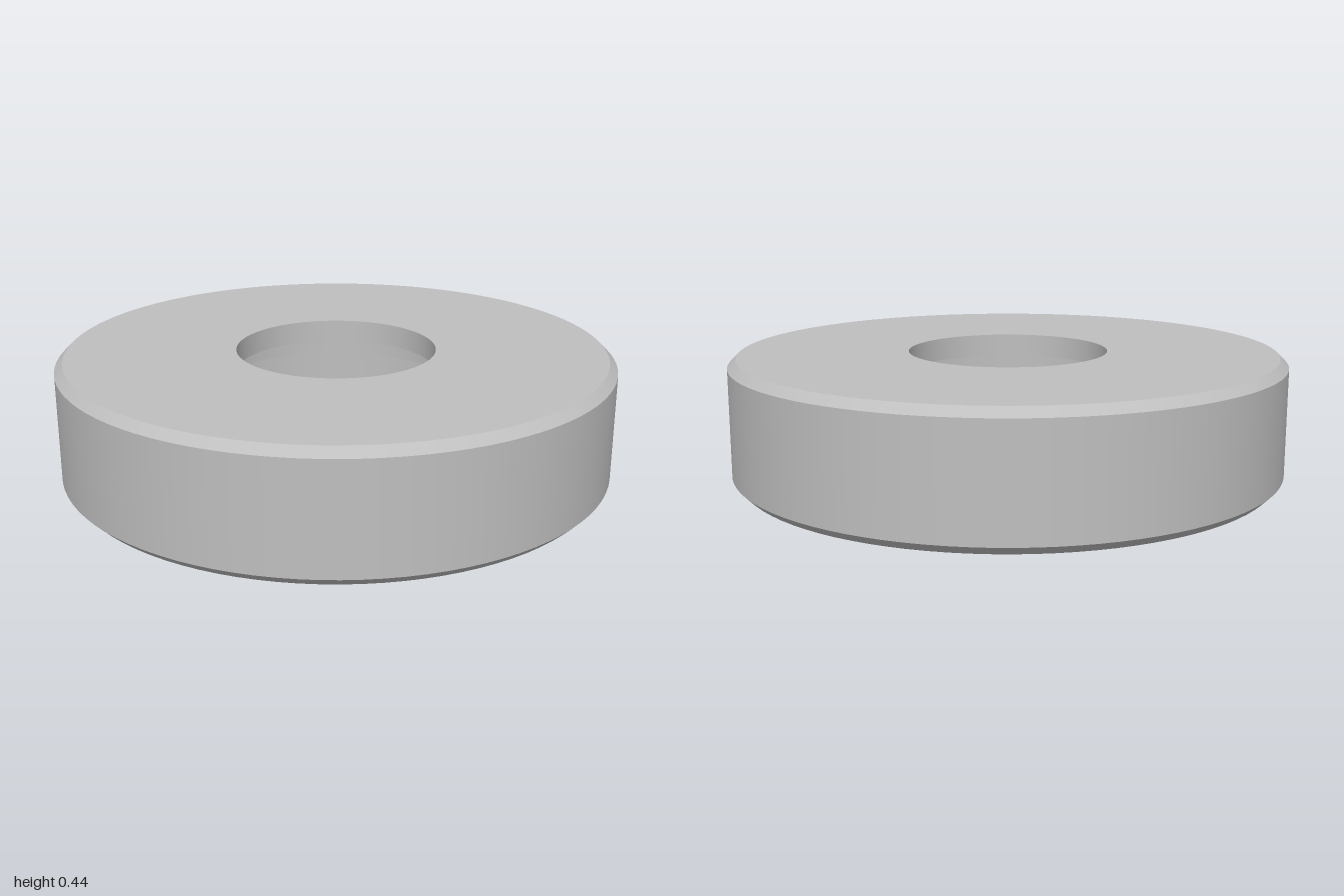
import * as THREE from 'three';
import { mergeGeometries } from 'three/addons/utils/BufferGeometryUtils.js';

const SEGMENTS = 96;
const HEIGHT = 0.445, CHAMFER = 0.03, COUNTERBORE = 0.585;
const HOLE_RADIUS = 0.068, HOLE_CIRCLE = 0.805, HOLE_DEPTH = 0.25, HOLE_COUNT = 8;

// Turned surface with a sharp edge at every profile corner
function turned(profile, segments) {
  const bands = [];
  for (let i = 0; i < profile.length - 1; i++) {
    const ends = [profile[i], profile[i + 1]].map(([r, y]) => new THREE.Vector2(r, y));
    bands.push(new THREE.LatheGeometry(ends, segments));
  }
  return mergeGeometries(bands);
}

export function createModel() {
  const group = new THREE.Group();
  group.name = 'flange';
  const steel = new THREE.MeshStandardMaterial({ color: 0xbfbfbf });
  steel.name = 'steel grey';

  const add = (name, geometry) => {
    const mesh = new THREE.Mesh(geometry, steel);
    mesh.name = name;
    group.add(mesh);
    return mesh;
  };

  // Chamfered rim, top face and stepped bore, from the outside to the inside
  add('body', turned([
    [1 - CHAMFER, 0], [1, CHAMFER], [1, HEIGHT - CHAMFER], [1 - CHAMFER, HEIGHT],
    [0.36, HEIGHT], [0.36, 0.362], [0.47, 0.362], [0.47, 0.28],
    [COUNTERBORE, 0.28], [COUNTERBORE, 0],
  ], SEGMENTS));

  // Underside ring, pierced by the bolt holes
  const ring = new THREE.Shape().absarc(0, 0, 1 - CHAMFER, 0, Math.PI * 2);
  ring.holes.push(new THREE.Path().absarc(0, 0, COUNTERBORE, 0, Math.PI * 2, true));

  // Blind bolt holes
  const holeGeometry = turned([[0, HOLE_DEPTH], [HOLE_RADIUS, HOLE_DEPTH], [HOLE_RADIUS, 0]], 32);
  for (let i = 0; i < HOLE_COUNT; i++) {
    const a = (i / HOLE_COUNT) * Math.PI * 2;
    const x = Math.cos(a) * HOLE_CIRCLE, z = Math.sin(a) * HOLE_CIRCLE;
    ring.holes.push(new THREE.Path().absarc(x, z, HOLE_RADIUS, 0, Math.PI * 2, true));
    add('boltHole' + (i + 1), holeGeometry).position.set(x, 0, z);
  }
  add('underside', new THREE.ShapeGeometry(ring, SEGMENTS).rotateX(Math.PI / 2));

  return group;
}
